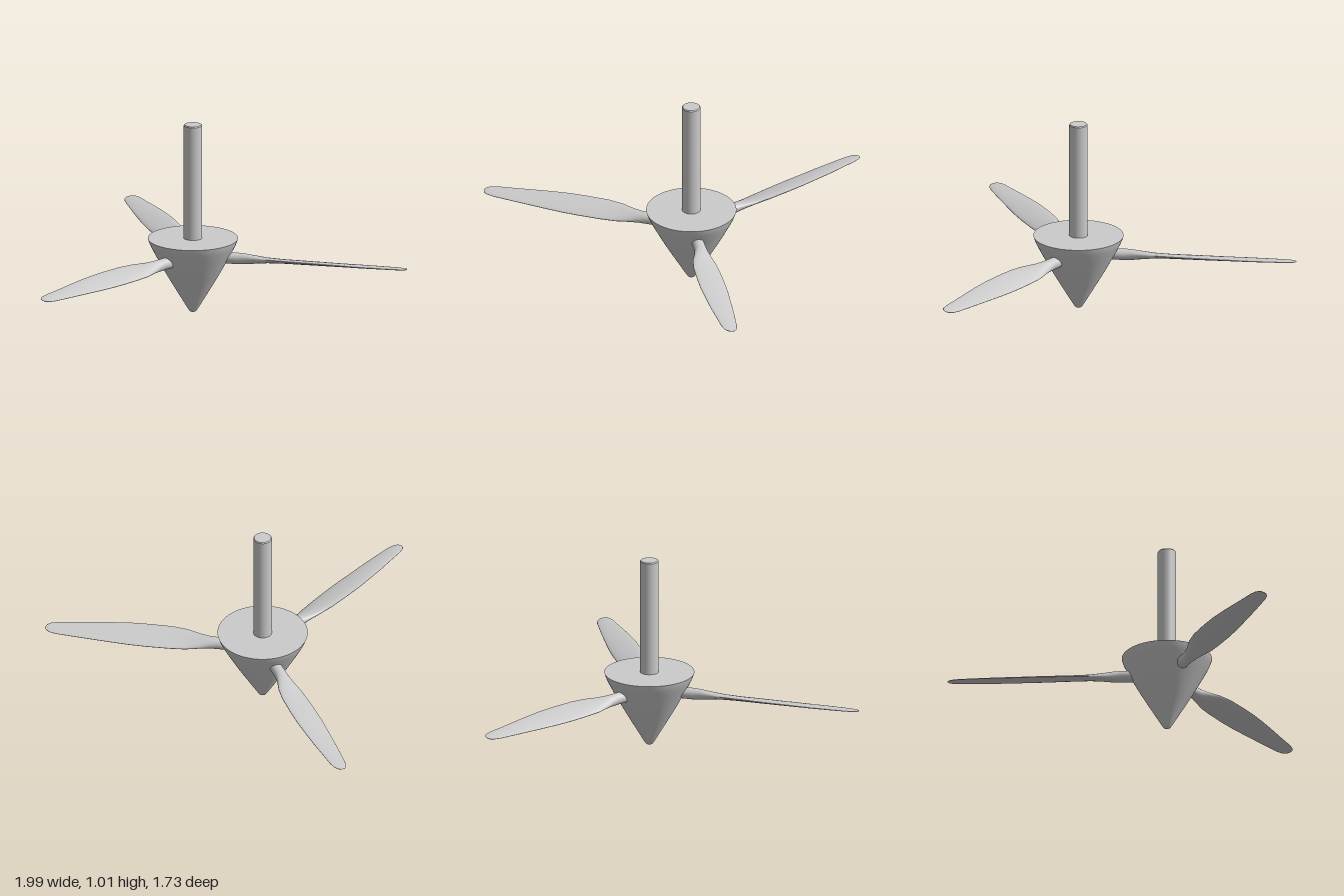
import * as THREE from 'three';

const material = new THREE.MeshStandardMaterial({ color: 0xcccccc });

// stations along a blade: radius, trailing half width, leading half width, half thickness, pitch in degrees
const STATIONS = [
  [0.10, 0.032, 0.032, 0.030, 17], [0.24, 0.032, 0.032, 0.030, 17],
  [0.28, 0.035, 0.035, 0.028, 17], [0.33, 0.045, 0.047, 0.022, 17],
  [0.40, 0.057, 0.066, 0.015, 17], [0.48, 0.063, 0.078, 0.012, 16],
  [0.60, 0.066, 0.081, 0.011, 15], [0.70, 0.065, 0.080, 0.010, 14],
  [0.80, 0.060, 0.073, 0.009, 13], [0.90, 0.055, 0.064, 0.008, 11],
  [1.00, 0.048, 0.052, 0.007, 10], [1.08, 0.042, 0.044, 0.006, 9],
  [1.12, 0.033, 0.034, 0.005, 9], [1.138, 0.020, 0.020, 0.004, 9],
  [1.145, 0.0005, 0.0005, 0.0005, 9],
];

// blade pointing along -z, lofted through twisted elliptical sections
function bladeGeometry(sides = 32) {
  const positions = [];
  const index = [];
  STATIONS.forEach(([r, left, right, thick, pitch], i) => {
    const t = THREE.MathUtils.degToRad(pitch);
    for (let j = 0; j < sides; j++) {
      const a = (j / sides) * Math.PI * 2;
      const u = (right - left) / 2 + Math.cos(a) * (right + left) / 2 / Math.cos(i < 4 ? 0 : t);
      const v = Math.sin(a) * thick;
      positions.push(u * Math.cos(t) - v * Math.sin(t), u * Math.sin(t) + v * Math.cos(t), -r);
      if (i < STATIONS.length - 1) {
        const p = i * sides + j;
        const q = i * sides + (j + 1) % sides;
        index.push(p, p + sides, q, q, p + sides, q + sides);
      }
    }
  });
  const geometry = new THREE.BufferGeometry();
  geometry.setAttribute('position', new THREE.Float32BufferAttribute(positions, 3));
  geometry.setIndex(index);
  geometry.computeVertexNormals();
  return geometry;
}

function lathe(points, segments) {
  return new THREE.LatheGeometry(points.map(([r, y]) => new THREE.Vector2(r, y)), segments);
}

export function createModel() {
  const model = new THREE.Group();
  model.name = 'propeller';
  const add = (geometry, name) => {
    const mesh = new THREE.Mesh(geometry, material);
    mesh.name = name;
    model.add(mesh);
    return mesh;
  };

  // spinner cone with a rounded nose
  const profile = new THREE.SplineCurve([
    [0, 0], [0.014, 0.004], [0.027, 0.02], [0.075, 0.1], [0.134, 0.2],
    [0.189, 0.3], [0.222, 0.365], [0.235, 0.4],
  ].map(([r, y]) => new THREE.Vector2(r, y))).getPoints(40);
  profile[0].x = 0;
  add(new THREE.LatheGeometry(profile, 64), 'spinner');

  // flat back of the spinner
  const back = add(new THREE.CircleGeometry(0.235, 64), 'spinnerBack');
  back.rotation.x = -Math.PI / 2;
  back.position.y = 0.4;

  // drive shaft with a small chamfer at its end
  add(lathe([[0.048, 0.38], [0.048, 1.01]], 40), 'shaft');
  add(lathe([[0.048, 1.01], [0.044, 1.015]], 40), 'shaftChamfer');
  const end = add(new THREE.CircleGeometry(0.044, 40), 'shaftEnd');
  end.rotation.x = -Math.PI / 2;
  end.position.y = 1.015;

  // three blades evenly spaced round the hub
  const blade = bladeGeometry();
  for (let k = 0; k < 3; k++) {
    const mesh = add(blade, 'blade' + (k + 1));
    mesh.position.y = 0.305;
    mesh.rotation.y = (k * Math.PI * 2) / 3;
  }

  model.position.z = 0.275;
  const root = new THREE.Group();
  root.add(model);
  return root;
}
